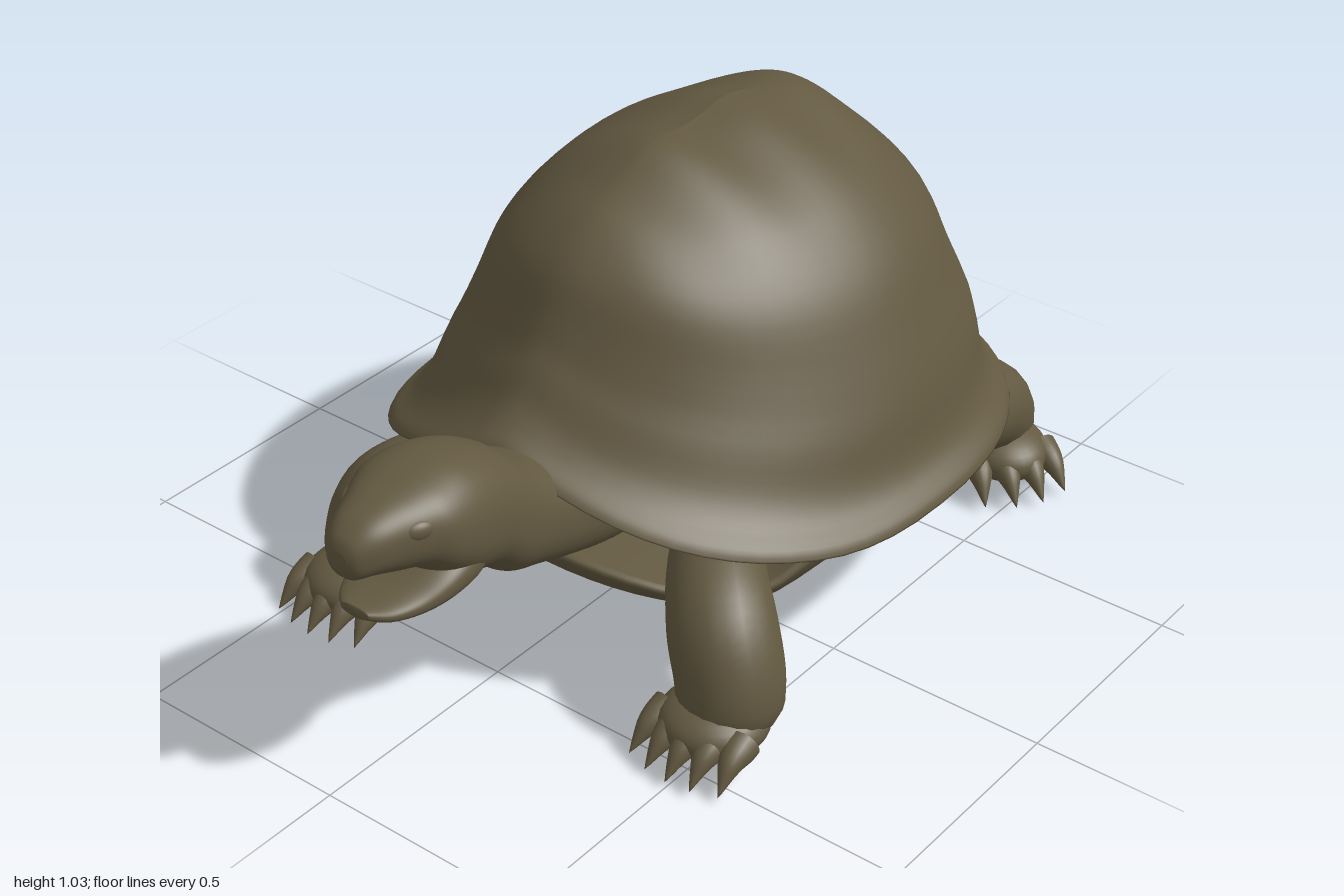
import * as THREE from 'three';
import { mergeVertices } from 'three/addons/utils/BufferGeometryUtils.js';

const V = (x, y, z) => new THREE.Vector3(x, y, z);
const hide = new THREE.MeshStandardMaterial({ color: 0x635941 });
hide.name = 'olive brown';

function addMesh(group, name, geometry) {
  const mesh = new THREE.Mesh(geometry, hide);
  mesh.name = name;
  group.add(mesh);
  return mesh;
}

// Joins closed rings of points into one smooth surface
function skin(rings) {
  const n = rings[0].length, points = rings.flat(), index = [];
  for (let i = 0; i < rings.length - 1; i++) {
    for (let j = 0; j < n; j++) {
      const k = (j + 1) % n, a = i * n + j, b = i * n + k;
      index.push(a, b, a + n, b, b + n, a + n);
    }
  }
  let g = new THREE.BufferGeometry().setFromPoints(points);
  g.setIndex(index);
  g = mergeVertices(g, 1e-4);
  g.computeVertexNormals();
  return g;
}

// Smoothly resamples rows of numbers
function resample(rows, count) {
  const channel = (c, t) => {
    const f = t * (rows.length - 1), i = Math.min(Math.floor(f), rows.length - 2), u = f - i;
    const p = k => rows[Math.max(0, Math.min(rows.length - 1, k))][c];
    const m0 = (p(i + 1) - p(i - 1)) / 2, m1 = (p(i + 2) - p(i)) / 2;
    return p(i) * (2 * u ** 3 - 3 * u * u + 1) + m0 * (u ** 3 - 2 * u * u + u)
      + p(i + 1) * (3 * u * u - 2 * u ** 3) + m1 * (u ** 3 - u * u);
  };
  return Array.from({ length: count + 1 }, (_, k) => rows[0].map((_, c) => channel(c, k / count)));
}

const sp = (v, e) => Math.sign(v) * Math.abs(v) ** e;
const STEPS = 64;
const angles = Array.from({ length: STEPS }, (_, j) => j / STEPS * Math.PI * 2);
const outline = (a, e = 0.87) => [0.625 * sp(Math.sin(a), e), 0.68 * sp(Math.cos(a), e)];
const CZ = -0.19;
const smooth = THREE.MathUtils.smoothstep;

// Rim rises in a peak over the neck
function rimHeight(x, z) {
  return 0.31 + 0.03 * x + 0.25 * (1 - Math.abs(x) / 0.63) * smooth(z, -0.25, 0.25);
}

function shell() {
  // height fraction, width scale, length scale
  const underside = [[0.1, 0, 0], [0.1, 0.6, 0.6], [0.03, 0.87, 0.89], [-0.015, 0.96, 0.97]];
  const dome = resample([[0, 1, 1], [0.03, 0.985, 0.985], [0.08, 0.925, 0.94], [0.15, 0.885, 0.9], [0.28, 0.85, 0.865],
    [0.45, 0.775, 0.805], [0.63, 0.68, 0.735], [0.77, 0.55, 0.62], [0.86, 0.42, 0.52], [0.93, 0.27, 0.42],
    [0.975, 0.13, 0.3], [0.995, 0, 0.12]], 44);
  return skin([...underside, ...dome].map(([h, sx, sz]) => angles.map(a => {
    // the plan grows rounder towards the top
    const [ox, oz] = outline(a, 0.87 + 0.12 * smooth(h, 0, 0.5));
    const rim = rimHeight(ox, CZ + oz);
    const x = ox * sx - 0.015 * Math.max(0, h);
    const z = CZ - 0.055 * Math.min(1, Math.max(0, h) * 3) + oz * sz;
    // gentle swelling of the plates along the spine
    const swell = h > 0.2 ? 0.007 * h * Math.exp(-((x / 0.25) ** 2)) * Math.cos((z + 0.04) / 0.23 * Math.PI * 2) : 0;
    return V(x, rim + (1.03 - rim) * h + swell, z);
  })));
}

function plastron() {
  // scale, height fraction
  const rows = resample([[0, 0], [0.3, 0.02], [0.5, 0.09], [0.69, 0.26], [0.83, 0.57], [0.9, 0.93], [0.88, 1.02]], 24);
  rows.push([0, 1.02]);
  return skin(rows.map(([s, f]) => angles.map(a => {
    const [ox, oz] = outline(a);
    const x = ox * s, z = CZ + oz * s * (oz > 0 ? 0.97 : 0.9);
    const front = smooth(oz, 0.2, 0.55);
    const top = 0.37 - (0.075 + 0.35 * x * x) * front;
    const low = 0.115 + 0.055 * smooth(-oz * s, 0.06, 0.42);
    return V(x, low + f * (top - low), z);
  })));
}

// Rounded sections along z: z, centre x, bottom y, top y, half width
function headLoft(rows, count) {
  const list = resample(rows, count);
  const flat = ([z, x, lo, hi, w], s) => angles.map(a => V(x + s * w * sp(Math.cos(a), 0.85),
    (lo + hi) / 2 + s * (hi - lo) / 2 * sp(Math.sin(a), 0.85), z));
  return skin([flat(list[0], 0), ...list.map(r => flat(r, 1)), flat(list[list.length - 1], 0)]);
}

// Tapered limb following a curve; points are x, y, z, radius
function limb(points, segments = 32) {
  const curve = new THREE.CatmullRomCurve3(points.map(p => V(p[0], p[1], p[2])));
  const g = new THREE.TubeGeometry(curve, segments, 1, 20, false), pos = g.attributes.position;
  const radii = resample(points.map(p => [p[3]]), 100);
  const v = V(0, 0, 0);
  for (let i = 0; i < pos.count; i++) {
    const u = Math.floor(i / 21) / segments;
    const t = curve.getUtoTmapping(u);
    const p = curve.getPoint(t);
    const round = Math.sqrt(Math.max(0, 1 - Math.max(0, (u - 0.84) / 0.16) ** 2));
    v.fromBufferAttribute(pos, i).sub(p).multiplyScalar(radii[Math.round(t * 100)][0] * round).add(p);
    pos.setXYZ(i, v.x, v.y, v.z);
  }
  g.deleteAttribute('uv');
  g.deleteAttribute('normal');
  const welded = mergeVertices(g, 1e-4);
  welded.computeVertexNormals();
  return welded;
}

function ellipsoid(group, name, at, size, turn = 0) {
  const m = addMesh(group, name, new THREE.SphereGeometry(1, 28, 18));
  m.position.set(...at);
  m.scale.set(...size);
  m.rotation.y = turn;
}

// Leg with flat foot and claws; heading is the foot's turn from +z
function leg(name, points, foot, heading, width, clawCount) {
  const g = new THREE.Group();
  g.name = name;
  addMesh(g, 'limb', limb(points));
  const [fx, fy, fz] = foot;
  ellipsoid(g, 'foot', foot, [width, 0.062, 0.115], heading);
  for (let i = 0; i < clawCount; i++) {
    const s = i / (clawCount - 1) * 2 - 1, a = heading + s * 0.18;
    const side = s * width * 0.8, ahead = 0.055 - 0.025 * s * s;
    const bx = fx + side * Math.cos(heading) + ahead * Math.sin(heading);
    const bz = fz - side * Math.sin(heading) + ahead * Math.cos(heading);
    const at = d => [bx + d * Math.sin(a), bz + d * Math.cos(a)];
    const [x1, z1] = at(0.05), [x2, z2] = at(0.105);
    addMesh(g, 'claw', limb([[bx, fy, bz, 0.038], [x1, fy - 0.014, z1, 0.026], [x2, fy - 0.062, z2, 0.003]], 10));
  }
  return g;
}

export function createModel() {
  const model = new THREE.Group();
  model.name = 'tortoise';

  addMesh(model, 'shell', shell());
  addMesh(model, 'plastron', plastron());
  ellipsoid(model, 'body', [0, 0.36, -0.2], [0.5, 0.15, 0.5]);

  // Neck flowing into the skull and upper jaw
  addMesh(model, 'neckAndHead', headLoft([
    [0.15, 0.01, 0.27, 0.5, 0.19], [0.3, 0.02, 0.27, 0.51, 0.165], [0.4, 0.03, 0.285, 0.53, 0.138],
    [0.5, 0.045, 0.32, 0.575, 0.122], [0.58, 0.05, 0.35, 0.638, 0.127], [0.65, 0.053, 0.405, 0.678, 0.132],
    [0.73, 0.055, 0.435, 0.702, 0.139], [0.8, 0.058, 0.48, 0.702, 0.134], [0.85, 0.062, 0.52, 0.695, 0.112],
    [0.9, 0.066, 0.536, 0.686, 0.088], [0.95, 0.067, 0.55, 0.67, 0.066], [0.985, 0.067, 0.556, 0.645, 0.043],
    [0.998, 0.067, 0.58, 0.62, 0.02]], 60));
  addMesh(model, 'lowerJaw', headLoft([
    [0.66, 0.055, 0.46, 0.56, 0.09], [0.72, 0.055, 0.435, 0.56, 0.122], [0.8, 0.058, 0.428, 0.53, 0.122],
    [0.87, 0.062, 0.43, 0.495, 0.1], [0.93, 0.065, 0.44, 0.48, 0.07], [0.965, 0.067, 0.455, 0.478, 0.035]], 30));
  for (const s of [-1, 1]) ellipsoid(model, 'eye', [0.064 + s * 0.086, 0.635, 0.868], [0.018, 0.022, 0.034], -s * 0.4);

  addMesh(model, 'tail', limb([[-0.04, 0.31, -0.68, 0.055], [-0.045, 0.28, -0.78, 0.043],
    [-0.05, 0.21, -0.89, 0.026], [-0.052, 0.125, -0.99, 0.002]]));

  model.add(
    leg('frontLeftLeg', [[0.28, 0.33, 0.08, 0.09], [0.37, 0.31, 0.24, 0.1], [0.46, 0.25, 0.34, 0.112],
      [0.505, 0.15, 0.37, 0.112], [0.505, 0.04, 0.38, 0.108]], [0.5, 0.085, 0.415], 0, 0.115, 5),
    leg('frontRightLeg', [[-0.22, 0.31, 0.12, 0.09], [-0.31, 0.285, 0.3, 0.1], [-0.37, 0.24, 0.41, 0.11],
      [-0.4, 0.15, 0.43, 0.11], [-0.405, 0.03, 0.44, 0.106]], [-0.4, 0.07, 0.495], 0, 0.115, 5),
    leg('hindLeftLeg', [[0.36, 0.28, -0.46, 0.09], [0.39, 0.26, -0.59, 0.105], [0.38, 0.2, -0.74, 0.108],
      [0.365, 0.11, -0.815, 0.095], [0.36, 0.03, -0.81, 0.08]], [0.42, 0.085, -0.775], 1.0, 0.1, 4),
    leg('hindRightLeg', [[-0.4, 0.28, -0.4, 0.09], [-0.45, 0.25, -0.53, 0.11], [-0.45, 0.19, -0.68, 0.105],
      [-0.43, 0.11, -0.76, 0.095], [-0.43, 0.03, -0.75, 0.08]], [-0.46, 0.075, -0.72], -0.9, 0.1, 4));
  return model;
}
